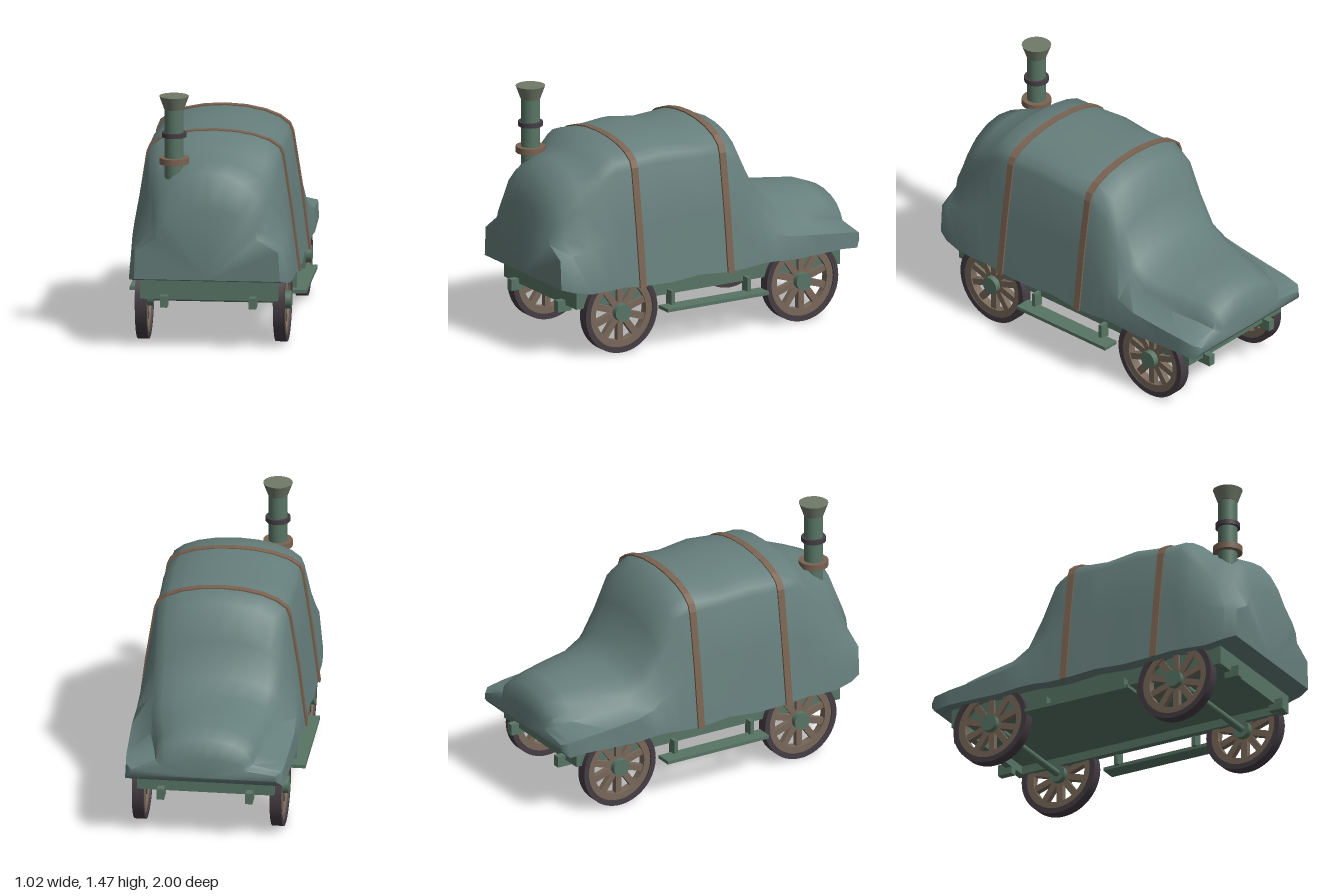
import * as THREE from 'three';
import { toCreasedNormals } from 'three/addons/utils/BufferGeometryUtils.js';

const mat = (color) => new THREE.MeshStandardMaterial({ color });
const cloth = mat(0x667f7c), green = mat(0x587565), brown = mat(0x7a6352);
const wood = mat(0x78685a), dark = mat(0x453d44), cap = mat(0x707968);
cloth.side = THREE.DoubleSide;

// Cover stations: z, hem x/y, knee x/y, shoulder x/y, crown y
const STATIONS = [
  [1.0, 0.42, 0.43, 0.41, 0.6, 0.29, 0.67, 0.85],
  [0.93, 0.45, 0.41, 0.43, 0.62, 0.335, 0.7, 1.05],
  [0.82, 0.465, 0.39, 0.445, 0.65, 0.355, 0.86, 1.095],
  [0.7, 0.475, 0.395, 0.445, 0.7, 0.37, 0.97, 1.13],
  [0.61, 0.475, 0.4, 0.435, 0.74, 0.385, 1.06, 1.21],
  [0.49, 0.48, 0.39, 0.435, 0.74, 0.385, 1.07, 1.2],
  [0.29, 0.48, 0.385, 0.435, 0.75, 0.39, 1.08, 1.225],
  [0.1, 0.475, 0.4, 0.43, 0.75, 0.385, 1.07, 1.195],
  [-0.1, 0.48, 0.385, 0.435, 0.75, 0.385, 1.07, 1.22],
  [-0.22, 0.475, 0.39, 0.44, 0.7, 0.375, 0.98, 1.18],
  [-0.31, 0.475, 0.4, 0.45, 0.62, 0.37, 0.8, 0.985],
  [-0.4, 0.475, 0.4, 0.46, 0.56, 0.37, 0.66, 0.79],
  [-0.52, 0.475, 0.39, 0.47, 0.53, 0.37, 0.58, 0.73],
  [-0.7, 0.47, 0.395, 0.465, 0.51, 0.34, 0.555, 0.715],
  [-0.86, 0.465, 0.4, 0.46, 0.495, 0.3, 0.535, 0.7],
  [-0.965, 0.455, 0.39, 0.45, 0.48, 0.28, 0.515, 0.66],
  [-1.0, 0.42, 0.43, 0.415, 0.465, 0.24, 0.49, 0.55],
];

// Cross-section from the +x hem over the crown to the -x hem
function section([, hx, hy, kx, ky, sx, sy, top]) {
  const pts = [[hx, hy], [kx, ky]];
  for (let i = 0; i <= 10; i++) {
    const t = (i / 10) * Math.PI;
    pts.push([sx * Math.cos(t), sy + (top - sy) * Math.sin(t)]);
  }
  pts.push([-kx, ky], [-hx, hy]);
  return pts;
}

function coverGeometry() {
  const pos = [], idx = [], n = section(STATIONS[0]).length;
  STATIONS.forEach((s) => section(s).forEach(([x, y]) => pos.push(x, y, s[0])));
  for (let i = 0; i < STATIONS.length - 1; i++) {
    for (let j = 0; j < n; j++) {
      const k = (j + 1) % n; // the last strip closes the underside
      const a = i * n + j, b = i * n + k, c = a + n, d = b + n;
      idx.push(a, c, b, b, c, d);
    }
  }
  // end faces
  const last = (STATIONS.length - 1) * n;
  const mid = pos.length / 3;
  pos.push(0, STATIONS[0][2], 1, 0, STATIONS.at(-1)[2], -1);
  for (let j = 0; j < n - 1; j++) {
    idx.push(mid, j, j + 1, mid + 1, last + j + 1, last + j);
  }
  const g = new THREE.BufferGeometry();
  g.setAttribute('position', new THREE.Float32BufferAttribute(pos, 3));
  g.setIndex(idx);
  return toCreasedNormals(g, 0.95);
}

// Band wrapped closely round one station of the cover
function strapGeometry(station) {
  const inner = section(station), hy = station[2];
  const outer = inner.map(([x, y]) => [x * 1.025, hy + (y - hy) * 1.014 - 0.004]);
  const ring = [...outer, ...inner.reverse()].map(([x, y]) => new THREE.Vector2(x, y));
  return new THREE.ExtrudeGeometry(new THREE.Shape(ring), { depth: 0.042, bevelEnabled: false });
}

function add(parent, name, geometry, material, x = 0, y = 0, z = 0) {
  const m = new THREE.Mesh(geometry, material);
  m.name = name;
  m.position.set(x, y, z);
  parent.add(m);
  return m;
}
const box = (w, h, d) => new THREE.BoxGeometry(w, h, d);
const cyl = (r1, r2, h, n = 24) => new THREE.CylinderGeometry(r1, r2, h, n);

// Flat ring centred on its own depth, axis along z
function ring(outer, inner, depth) {
  const s = new THREE.Shape().absarc(0, 0, outer, 0, Math.PI * 2);
  s.holes.push(new THREE.Path().absarc(0, 0, inner, 0, Math.PI * 2, true));
  const g = new THREE.ExtrudeGeometry(s, { depth, bevelEnabled: false, curveSegments: 28 });
  return toCreasedNormals(g.translate(0, 0, -depth / 2), 0.6);
}

function wheel() {
  const w = new THREE.Group();
  w.name = 'wheel';
  add(w, 'tyre', ring(0.24, 0.208, 0.066), dark);
  add(w, 'rim', ring(0.209, 0.168, 0.05), wood);
  for (let i = 0; i < 10; i++) {
    const a = (i / 10 + 0.25) * Math.PI * 2;
    const s = add(w, 'spoke', box(0.14, 0.038, 0.034), wood, Math.cos(a) * 0.11, Math.sin(a) * 0.11, 0);
    s.rotation.z = a;
  }
  add(w, 'hub', cyl(0.051, 0.051, 0.105), green).rotation.x = Math.PI / 2;
  w.rotation.y = Math.PI / 2;
  return w;
}

export function createModel() {
  const model = new THREE.Group();
  model.name = 'coveredEngine';

  add(model, 'cover', coverGeometry(), cloth);
  for (const i of [5, 8]) {
    add(model, 'strap', strapGeometry(STATIONS[i]), brown, 0, 0, STATIONS[i][0] - 0.021);
  }

  // Chimney standing out of the front of the cover
  const chimney = new THREE.Group();
  chimney.name = 'chimney';
  chimney.position.set(-0.205, 0, 0.825);
  add(chimney, 'pipe', cyl(0.055, 0.055, 0.42), green, 0, 1.2, 0);
  add(chimney, 'baseCollar', cyl(0.085, 0.085, 0.036), brown, 0, 1.093, 0);
  add(chimney, 'band', cyl(0.071, 0.071, 0.027), dark, 0, 1.245, 0);
  add(chimney, 'flaredCap', cyl(0.085, 0.057, 0.077), cap, 0, 1.432, 0);
  model.add(chimney);

  // Underframe: recessed floor, side beams, end beams
  add(model, 'floor', box(0.76, 0.06, 1.74), green, 0, 0.37, 0);
  for (const s of [-1, 1]) {
    add(model, 'sideBeam', box(0.04, 0.13, 1.76), green, s * 0.375, 0.355, 0);
    add(model, 'endBeam', box(0.79, 0.13, 0.04), green, 0, 0.355, s * 0.865);
    for (const x of [-0.255, 0.255]) {
      add(model, 'bufferBlock', box(0.042, 0.066, 0.09), green, x, 0.284, s * 0.89);
    }
    // Axle and its pair of wheels
    const axleZ = s * 0.607 - 0.006;
    const axle = add(model, 'axle', cyl(0.021, 0.021, 0.76, 16), green, 0, 0.24, axleZ);
    axle.rotation.z = Math.PI / 2;
    for (const x of [-0.397, 0.397]) {
      const w = wheel();
      w.position.set(x, 0.24, axleZ);
      model.add(w);
    }
    // Footboard and hangers
    add(model, 'footboard', box(0.1, 0.02, 0.68), green, s * 0.458, 0.228, 0);
    for (const z of [-0.245, 0.265]) {
      add(model, 'footboardHanger', box(0.06, 0.09, 0.024), green, s * 0.415, 0.275, z);
    }
  }
  return model;
}
